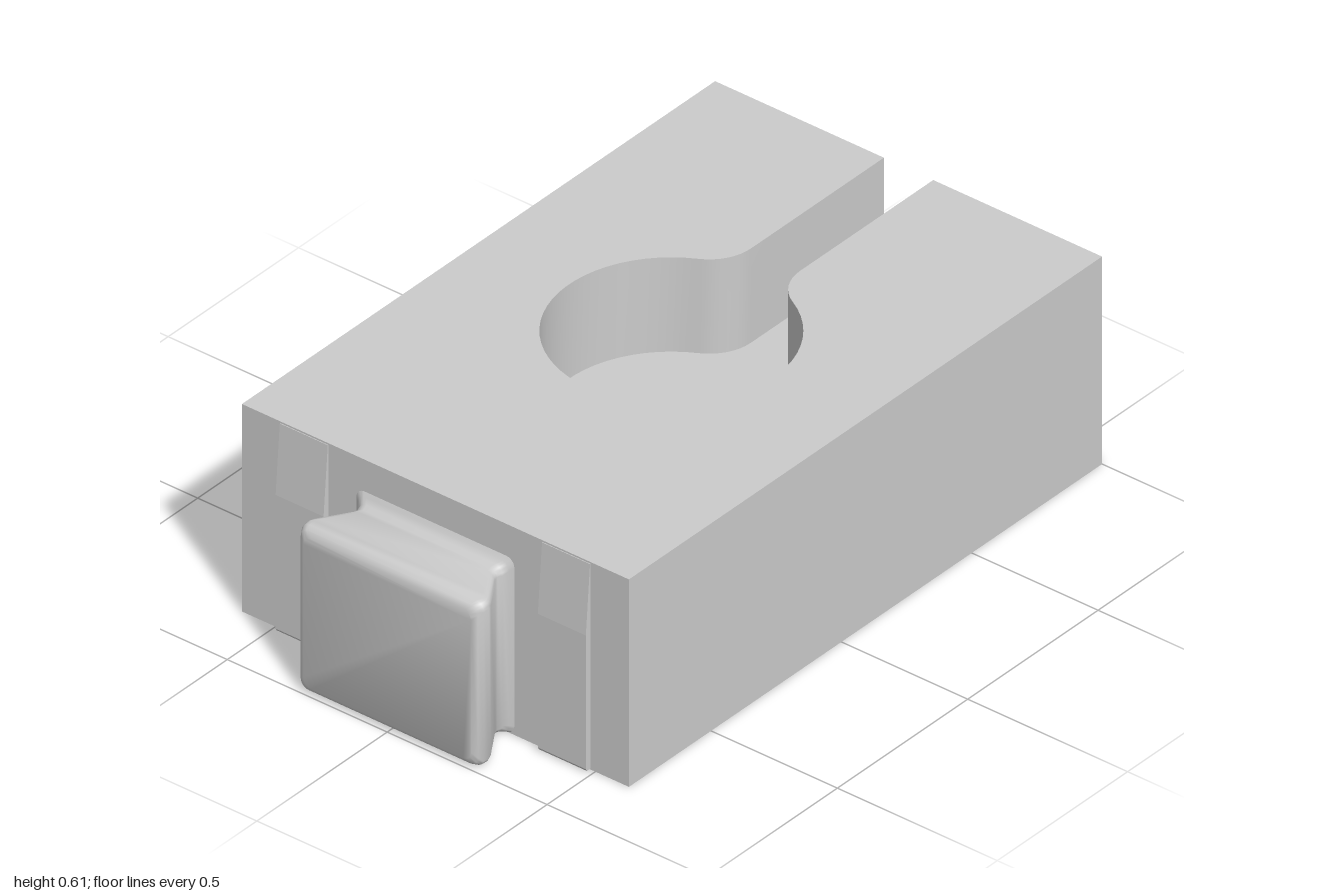
import * as THREE from 'three';
import { toCreasedNormals } from 'three/addons/utils/BufferGeometryUtils.js';

const W = 0.605, H = 0.605, FRONT = 0.815, BACK = -1;
const FLOOR = 0.33, LEDGE = 0.145, HOLE_Z = -0.09;
const SLOT = 0.077, POCKET = 0.32, BORE = 0.065, COUNTERBORE = 0.15;

const material = new THREE.MeshStandardMaterial({ color: 0xcccccc, side: THREE.DoubleSide });

function add(group, name, geometry) {
  const mesh = new THREE.Mesh(geometry, material);
  mesh.name = name;
  group.add(mesh);
  return mesh;
}

// Points on an arc in plan, where plan coordinates are (x, -z)
function arc(cx, cy, r, a0, a1, n) {
  return Array.from({ length: n + 1 }, (_, i) => {
    const a = a0 + (a1 - a0) * i / n;
    return new THREE.Vector2(cx + r * Math.cos(a), cy + r * Math.sin(a));
  });
}

const circle = (y, r) => new THREE.Path(arc(0, y, r, 0, Math.PI * 2, 40).slice(0, -1));
const points = (list) => list.map(([x, y]) => new THREE.Vector2(x, y));

// Keyhole outline: slot side, fillet, round pocket, then mirrored back to the slot
function keyhole() {
  const f = 0.13, fx = SLOT + f, dy = Math.sqrt((POCKET + f) ** 2 - fx ** 2);
  const a = Math.atan2(dy, fx), cy = -HOLE_Z;
  const half = [
    new THREE.Vector2(SLOT, -BACK),
    ...arc(fx, cy + dy, f, Math.PI, Math.PI + a, 8),
    ...arc(0, cy, POCKET, a, -Math.PI / 2, 26).slice(1),
  ];
  const other = half.slice(0, -1).reverse().map((p) => new THREE.Vector2(-p.x, p.y));
  return [...half, ...other];
}

// Flat horizontal face, facing up or down
function plate(outline, holes, y, up = true) {
  const shape = new THREE.Shape(outline);
  shape.holes = holes;
  return new THREE.ShapeGeometry(shape).rotateX(up ? -Math.PI / 2 : Math.PI / 2).translate(0, y, 0);
}

// Upright wall following a plan path
function wall(path, y0, y1) {
  const pos = [], index = [];
  path.forEach((p, i) => {
    pos.push(p.x, y0, -p.y, p.x, y1, -p.y);
    if (i) {
      const a = 2 * i - 2;
      index.push(a, a + 2, a + 3, a, a + 3, a + 1);
    }
  });
  const g = new THREE.BufferGeometry();
  g.setAttribute('position', new THREE.Float32BufferAttribute(pos, 3));
  g.setIndex(index);
  return toCreasedNormals(g, 0.5);
}

// Dovetail tongue from rounded rectangles: [z, half width, bottom, top]
function dovetailGeometry() {
  const sections = [
    [0.813, 0.25, 0, 0.515], [0.822, 0.236, 0.001, 0.502], [0.834, 0.226, 0.003, 0.49],
    [0.85, 0.222, 0.004, 0.485], [0.864, 0.227, 0.004, 0.485], [0.945, 0.28, 0.004, 0.485],
    [0.96, 0.286, 0.004, 0.485], [0.978, 0.285, 0.005, 0.483], [0.992, 0.277, 0.012, 0.476],
    [1, 0.262, 0.025, 0.462],
  ];
  const r = 0.025, steps = 5, n = 4 * (steps + 1), pos = [], index = [];
  sections.forEach(([z, w, y0, y1], s) => {
    for (let c = 0; c < 4; c++) {
      const cx = (c === 0 || c === 3 ? 1 : -1) * (w - r);
      const cy = c < 2 ? y1 - r : y0 + r;
      for (const p of arc(cx, cy, r, c * Math.PI / 2, (c + 1) * Math.PI / 2, steps)) pos.push(p.x, p.y, z);
    }
    if (!s) return;
    for (let k = 0; k < n; k++) {
      const a = (s - 1) * n + k, b = (s - 1) * n + (k + 1) % n;
      index.push(a, b, b + n, a, b + n, a + n);
    }
  });
  // Front face
  const last = (sections.length - 1) * n;
  for (let k = 1; k < n - 1; k++) index.push(last, last + k, last + k + 1);
  const g = new THREE.BufferGeometry();
  g.setAttribute('position', new THREE.Float32BufferAttribute(pos, 3));
  g.setIndex(index);
  return toCreasedNormals(g, 0.75);
}

export function createModel() {
  const model = new THREE.Group();
  model.name = 'dovetailBlock';
  const key = keyhole();

  // Block faces
  const body = new THREE.Group();
  body.name = 'body';
  model.add(body);
  const rect = points([[-W, BACK], [W, BACK], [W, FRONT], [-W, FRONT]]);
  const top = [...points([[-W, -BACK], [-W, -FRONT], [W, -FRONT], [W, -BACK]]), ...key];
  add(body, 'topFace', plate(top, [], H));
  add(body, 'bottomFace', plate(rect, [circle(HOLE_Z, COUNTERBORE)], 0, false));
  add(body, 'outerWalls', wall(points([[-W, -BACK], [-W, -FRONT], [W, -FRONT], [W, -BACK]]), 0, H));
  const back = points([[-W, 0], [W, 0], [W, H], [SLOT, H], [SLOT, FLOOR], [-SLOT, FLOOR], [-SLOT, H], [-W, H]]);
  add(body, 'backFace', new THREE.ShapeGeometry(new THREE.Shape(back)).rotateY(Math.PI).translate(0, 0, BACK));

  // Keyhole pocket
  add(body, 'pocketWall', wall(key, FLOOR, H));
  add(body, 'pocketFloor', plate(key, [circle(-HOLE_Z, BORE)], FLOOR));

  // Stepped screw hole
  add(body, 'boreWall', wall(arc(0, -HOLE_Z, BORE, Math.PI * 2, 0, 40), LEDGE, FLOOR));
  add(body, 'counterboreWall', wall(arc(0, -HOLE_Z, COUNTERBORE, Math.PI * 2, 0, 40), 0, LEDGE));
  add(body, 'counterboreLedge', plate(arc(0, HOLE_Z, COUNTERBORE, 0, Math.PI * 2, 40).slice(0, -1), [circle(HOLE_Z, BORE)], LEDGE, false));

  // Dovetail tongue on the front
  add(model, 'dovetail', dovetailGeometry());

  // Thin rails with ramped tops beside the tongue
  const profile = new THREE.Shape(points([
    [-0.81, 0.003], [-0.81, 0.6], [-0.817, 0.6], [-0.833, 0.4], [-0.833, 0.01], [-0.829, 0.003],
  ]));
  for (const [side, x] of [['left', 0.41], ['right', -0.41]]) {
    const rail = new THREE.ExtrudeGeometry(profile, { depth: 0.15, bevelEnabled: false });
    rail.translate(0, 0, -0.075).rotateY(Math.PI / 2).translate(x, 0, 0);
    add(model, side + 'Rail', rail);
  }
  return model;
}
